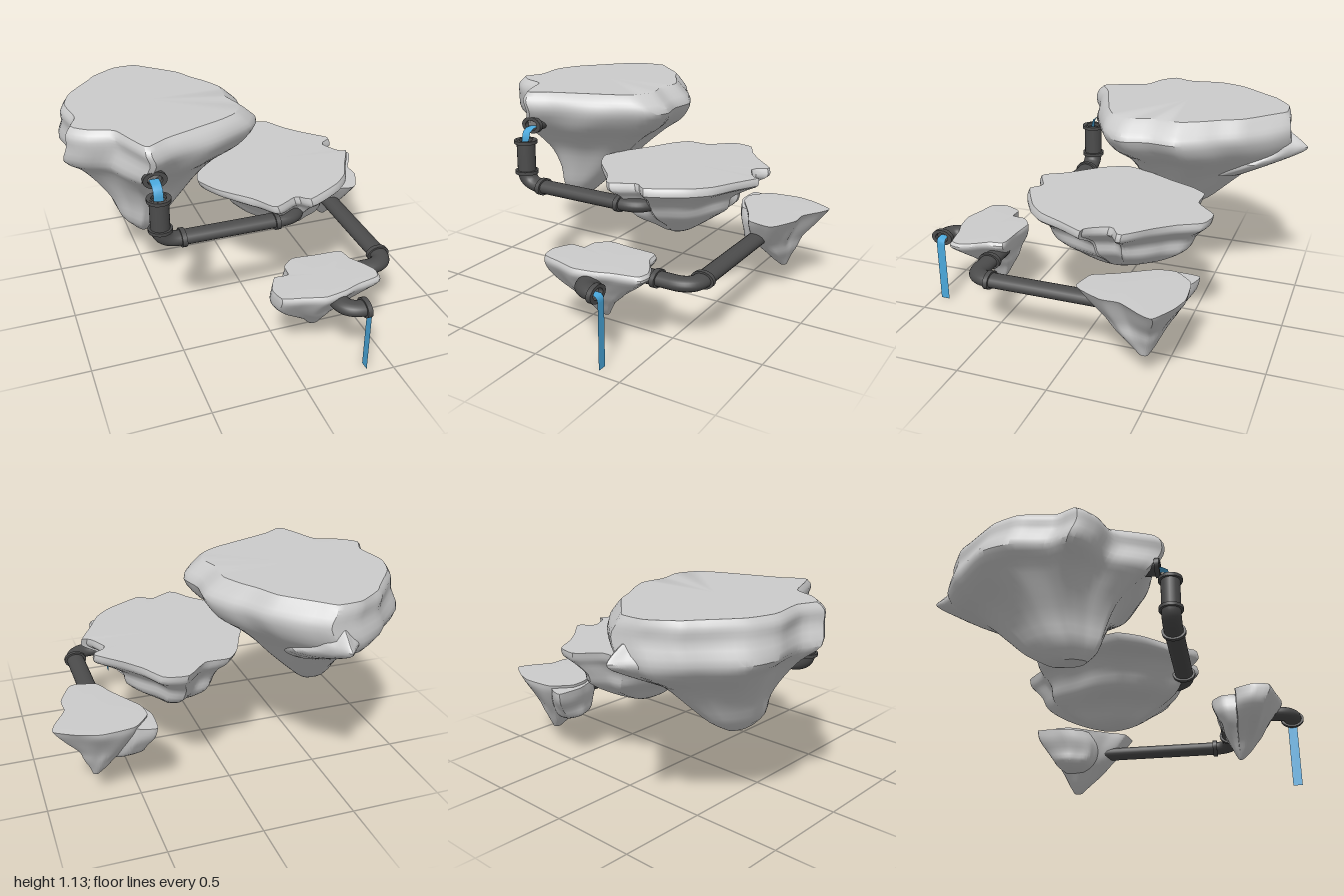
import * as THREE from 'three';
import { toCreasedNormals } from 'three/addons/utils/BufferGeometryUtils.js';

const rock = new THREE.MeshStandardMaterial({ color: 0xcccccc });
const iron = new THREE.MeshStandardMaterial({ color: 0x4c4c4c, side: THREE.DoubleSide });
const blue = new THREE.MeshStandardMaterial({ color: 0x4aa8dc, side: THREE.DoubleSide });
const SQUASH = 0.72; // pipes are flattened in height

// Floating rock: a top outline [x, z], fitted into the extents of each ring [y, x0, x1, z0, z1]
// and turning into an ellipse with depth
function island(name, outline, rings, rough, phase) {
  const curve = new THREE.CatmullRomCurve3(outline.map(([x, z]) => new THREE.Vector3(x, 0, z)), true, 'catmullrom', 0.25);
  const N = 96, SUB = 3;
  const pts = curve.getSpacedPoints(N).slice(0, N);
  const box = new THREE.Box3().setFromPoints(pts);
  // outline in the range -0.5 to 0.5
  const unit = pts.map(p => [(p.x - box.min.x) / (box.max.x - box.min.x) - 0.5, (p.z - box.min.z) / (box.max.z - box.min.z) - 0.5]);
  // smooth change of each extent from ring to ring
  const extents = rings[0].map((_, k) => new THREE.SplineCurve(rings.map(v => new THREE.Vector2(v[k], 0))));
  const pos = [], index = [];
  const rows = (rings.length - 1) * SUB + 1;
  for (let r = 0; r < rows; r++) {
    const depth = r / (rows - 1), amp = rough * Math.sin(Math.PI * depth), round = 0.85 * depth * depth;
    const [y, x0, x1, z0, z1] = extents.map(e => e.getPoint(depth).x);
    unit.forEach(([u, v]) => {
      const a = Math.atan2(v, u);
      // uneven vertical ribs that drift sideways with depth
      const n = 1 + amp * (Math.sin(5 * a + 4 * depth + phase) + 0.6 * Math.sin(8 * a - 7 * depth + 2 * phase));
      const dx = THREE.MathUtils.lerp(u, Math.cos(a) / 2, round), dz = THREE.MathUtils.lerp(v, Math.sin(a) / 2, round);
      pos.push((x0 + x1) / 2 + dx * (x1 - x0) * n, y, (z0 + z1) / 2 + dz * (z1 - z0) * n);
    });
  }
  for (let r = 0; r < rows - 1; r++) for (let j = 0; j < N; j++) {
    const a = r * N + j, b = r * N + (j + 1) % N;
    index.push(a, b, a + N, b, b + N, a + N);
  }
  // caps
  const cap = (row, dy) => {
    const c = pos.length / 3, [y, x0, x1, z0, z1] = rings[row ? rings.length - 1 : 0];
    pos.push((x0 + x1) / 2, y + dy, (z0 + z1) / 2);
    for (let j = 0; j < N; j++) {
      const a = row * N + j, b = row * N + (j + 1) % N;
      if (row) index.push(c, a, b); else index.push(c, b, a);
    }
  };
  cap(0, 0.005);
  cap(rows - 1, -0.008);
  const geo = new THREE.BufferGeometry();
  geo.setAttribute('position', new THREE.Float32BufferAttribute(pos, 3));
  geo.setIndex(index);
  const mesh = new THREE.Mesh(toCreasedNormals(geo, 0.6), rock);
  mesh.name = name;
  return mesh;
}

// Round pipe through corner points with rounded elbows, plus flanges [x, y, z, axis]
function pipe(name, corners, bend, flanges) {
  const group = new THREE.Group();
  group.name = name;
  group.scale.y = SQUASH;
  const p = corners.map(([x, y, z]) => new THREE.Vector3(x, y / SQUASH, z));
  const path = new THREE.CurvePath();
  let from = p[0];
  for (let i = 1; i < p.length - 1; i++) {
    const a = p[i].clone().add(p[i - 1].clone().sub(p[i]).setLength(bend));
    const b = p[i].clone().add(p[i + 1].clone().sub(p[i]).setLength(bend));
    path.add(new THREE.LineCurve3(from, a));
    path.add(new THREE.QuadraticBezierCurve3(a, p[i], b));
    from = b;
  }
  path.add(new THREE.LineCurve3(from, p[p.length - 1]));
  const tube = new THREE.Mesh(new THREE.TubeGeometry(path, 90, 0.052, 20), iron);
  tube.name = 'tube';
  group.add(tube);
  // flange: a flat ring of rectangular section
  const section = [[0.04, -0.013], [0.065, -0.013], [0.065, 0.013], [0.04, 0.013], [0.04, -0.013]];
  const ring = toCreasedNormals(new THREE.LatheGeometry(section.map(q => new THREE.Vector2(...q)), 24), 0.6);
  for (const [x, y, z, axis] of flanges) {
    const f = new THREE.Mesh(ring, iron);
    f.name = 'flange';
    f.position.set(x, y / SQUASH, z);
    if (axis === 'x') f.rotation.z = Math.PI / 2;
    if (axis === 'z') f.rotation.x = Math.PI / 2;
    group.add(f);
  }
  return group;
}

// Thin water sheet: a path swept sideways along the given half-width vector
function water(name, path, half) {
  const pos = [], index = [];
  path.forEach(([x, y, z], i) => {
    for (const s of [-1, 1]) pos.push(x + s * half[0], y, z + s * half[1]);
    if (i) index.push(2 * i - 2, 2 * i - 1, 2 * i, 2 * i - 1, 2 * i + 1, 2 * i);
  });
  const geo = new THREE.BufferGeometry();
  geo.setAttribute('position', new THREE.Float32BufferAttribute(pos, 3));
  geo.setIndex(index);
  geo.computeVertexNormals();
  const mesh = new THREE.Mesh(geo, blue);
  mesh.name = name;
  return mesh;
}

export function createModel() {
  const model = new THREE.Group();
  model.name = 'floatingIslands';

  // Islands, from the highest to the lowest
  model.add(island('topIsland', [
    [-0.35, -0.91], [-0.3, -0.87], [-0.1, -0.7], [-0.03, -0.58], [0.03, -0.5], [0.1, -0.37], [0.08, -0.22], [0.12, -0.08],
    [0.06, 0.04], [-0.05, 0.1], [-0.25, 0.17], [-0.45, 0.24], [-0.58, 0.31], [-0.65, 0.18], [-0.71, 0.05], [-0.85, 0],
    [-0.95, -0.08], [-0.9, -0.2], [-0.93, -0.4], [-0.87, -0.56], [-0.7, -0.75], [-0.66, -0.8], [-0.5, -0.9]], [
    [1.125, -0.9, 0.02, -0.88, 0.27], [1.085, -0.93, 0.07, -0.9, 0.31], [1.02, -0.93, 0.12, -0.91, 0.31],
    [0.92, -0.95, 0.05, -0.91, 0.26], [0.84, -0.87, -0.07, -0.85, 0.17], [0.74, -0.79, -0.18, -0.68, 0.07],
    [0.62, -0.71, -0.29, -0.55, 0.01], [0.5, -0.66, -0.41, -0.43, -0.03], [0.425, -0.59, -0.49, -0.31, -0.1]], 0.018, 0.4));

  model.add(island('backSpur', [
    [-0.42, -1], [-0.36, -0.94], [-0.28, -0.85], [-0.3, -0.7], [-0.5, -0.7], [-0.58, -0.84], [-0.48, -0.94]], [
    [1, -0.5, -0.34, -0.91, -0.7], [0.95, -0.52, -0.31, -0.98, -0.68], [0.91, -0.54, -0.3, -1, -0.66],
    [0.84, -0.59, -0.24, -0.88, -0.57], [0.74, -0.58, -0.28, -0.68, -0.4]], 0.01, 1));

  model.add(island('middleIsland', [
    [0.27, -0.64], [0.39, -0.62], [0.46, -0.5], [0.54, -0.4], [0.62, -0.32], [0.67, -0.26], [0.59, -0.2], [0.65, -0.08],
    [0.69, -0.07], [0.61, 0.08], [0.55, 0.2], [0.46, 0.29], [0.26, 0.4], [0.19, 0.35], [0.05, 0.42], [-0.03, 0.3],
    [-0.18, 0.14], [-0.25, 0], [-0.2, -0.15], [-0.12, -0.3], [-0.05, -0.45], [0.02, -0.53], [0.15, -0.53]], [
    [0.742, -0.25, 0.69, -0.64, 0.42], [0.7, -0.23, 0.69, -0.63, 0.43], [0.66, -0.15, 0.62, -0.59, 0.38],
    [0.6, -0.08, 0.53, -0.54, 0.33], [0.53, -0.03, 0.51, -0.51, 0.28], [0.46, 0.08, 0.42, -0.41, 0.17],
    [0.39, 0.15, 0.32, -0.27, 0.06], [0.36, 0.2, 0.27, -0.18, -0.03]], 0.02, 2));

  model.add(island('sideIsland', [
    [0.54, -0.6], [0.71, -0.62], [0.82, -0.59], [0.94, -0.52], [0.92, -0.45], [0.85, -0.33], [0.85, -0.23],
    [0.79, -0.1], [0.75, -0.07], [0.63, -0.1], [0.58, -0.2], [0.52, -0.3], [0.46, -0.4], [0.45, -0.5]], [
    [0.478, 0.45, 0.94, -0.62, -0.07], [0.44, 0.46, 0.91, -0.61, -0.09], [0.37, 0.49, 0.86, -0.57, -0.14],
    [0.3, 0.54, 0.81, -0.53, -0.2], [0.24, 0.6, 0.79, -0.5, -0.26], [0.18, 0.65, 0.76, -0.47, -0.33],
    [0.13, 0.7, 0.74, -0.44, -0.39]], 0.025, 3.2));

  // lower lump on the inner side of the side island
  model.add(island('sideLump', [
    [0.44, -0.62], [0.55, -0.6], [0.68, -0.5], [0.7, -0.35], [0.6, -0.26], [0.5, -0.3], [0.43, -0.45]], [
    [0.46, 0.42, 0.64, -0.62, -0.3], [0.4, 0.43, 0.66, -0.61, -0.27], [0.33, 0.46, 0.68, -0.57, -0.27],
    [0.27, 0.47, 0.68, -0.53, -0.3], [0.235, 0.53, 0.66, -0.48, -0.36]], 0.02, 0));

  model.add(island('lowIsland', [
    [0.12, 0.49], [0.25, 0.5], [0.4, 0.51], [0.42, 0.59], [0.47, 0.67], [0.5, 0.74], [0.48, 0.8], [0.35, 0.83],
    [0.27, 0.86], [0.15, 0.88], [0.04, 0.85], [-0.07, 0.82], [-0.09, 0.73], [-0.04, 0.63], [0.04, 0.63], [0.05, 0.55]], [
    [0.45, -0.085, 0.49, 0.49, 0.87], [0.42, -0.09, 0.5, 0.49, 0.88], [0.36, -0.085, 0.43, 0.51, 0.84],
    [0.3, -0.03, 0.35, 0.54, 0.8], [0.25, 0.04, 0.3, 0.55, 0.77], [0.2, 0.1, 0.25, 0.575, 0.73],
    [0.15, 0.14, 0.22, 0.6, 0.69], [0.115, 0.17, 0.2, 0.62, 0.65]], 0.025, 4.5));

  // Pipes linking the islands
  model.add(pipe('topOutlet', [[-0.555, 0.94, 0.1], [-0.555, 0.94, 0.28]], 0, [[-0.555, 0.94, 0.275, 'z']]));
  model.add(pipe('upperPipe', [[-0.555, 0.87, 0.34], [-0.555, 0.612, 0.34], [0.22, 0.612, 0.34], [0.22, 0.612, 0.1]], 0.11,
    [[-0.555, 0.86, 0.34, 'y'], [-0.555, 0.685, 0.34, 'y'], [-0.44, 0.612, 0.34, 'x'], [0.08, 0.612, 0.34, 'x']]));
  model.add(pipe('lowerPipe', [[0.65, 0.355, -0.25], [0.65, 0.355, 0.575], [0.3, 0.355, 0.575]], 0.11,
    [[0.65, 0.355, 0.47, 'z'], [0.45, 0.355, 0.575, 'x']]));
  model.add(pipe('lowOutlet', [[0.23, 0.39, 0.75], [0.23, 0.39, 0.94], [0.345, 0.39, 0.94]], 0.1,
    [[0.332, 0.39, 0.94, 'x']]));

  // Falling water
  model.add(water('upperWater', [[-0.555, 0.93, 0.25], [-0.555, 0.927, 0.3], [-0.555, 0.91, 0.33], [-0.555, 0.87, 0.342],
    [-0.555, 0.7, 0.342]], [0.026, 0]));
  model.add(water('waterfall', [[0.3, 0.388, 0.94], [0.345, 0.386, 0.94], [0.357, 0.372, 0.94], [0.36, 0.35, 0.94],
    [0.36, 0, 0.94]], [0, 0.026]));
  return model;
}
